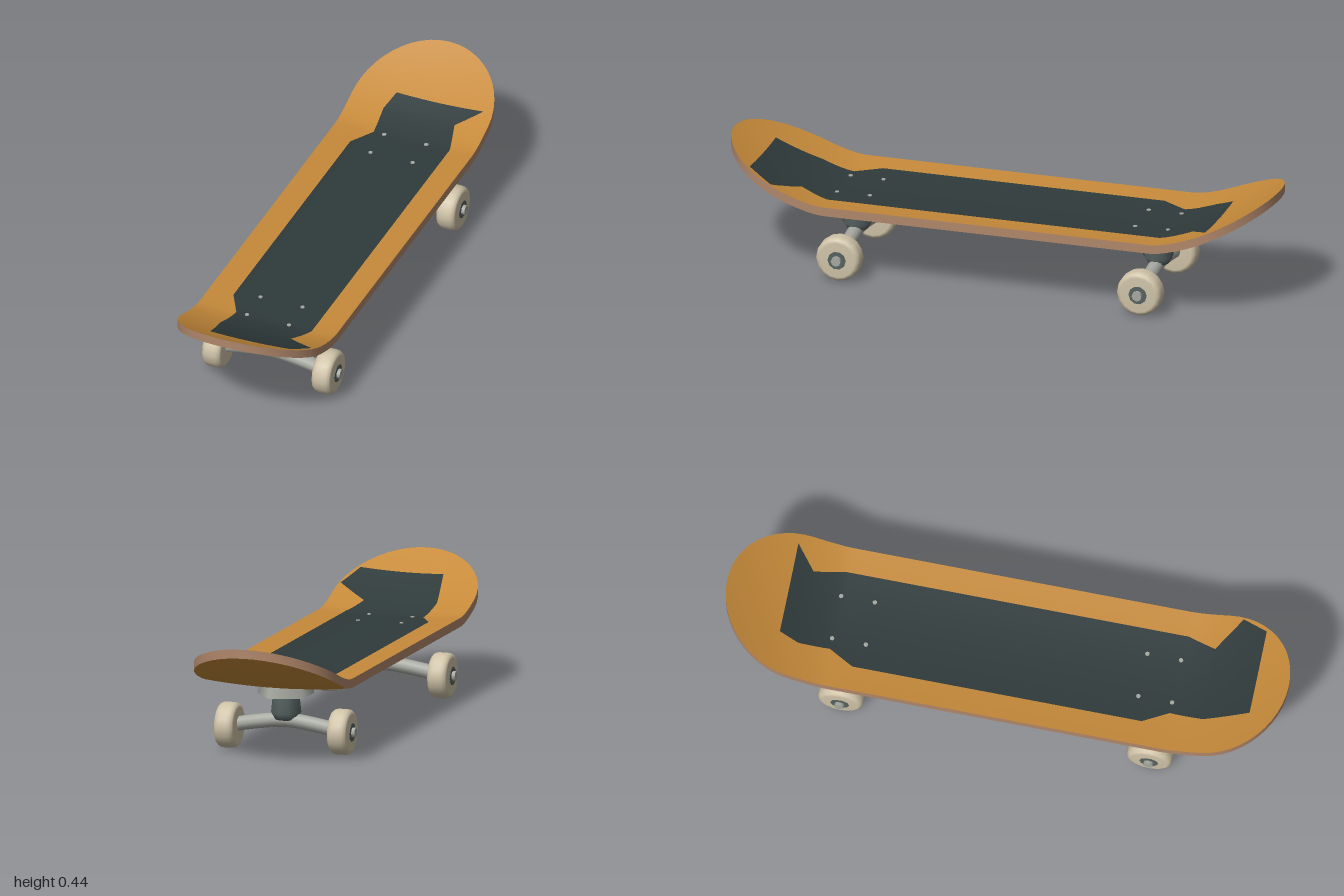
import * as THREE from 'three';

const material = (name, color) => Object.assign(new THREE.MeshStandardMaterial({ color }), { name });
const mats = {
  deck: material('orange deck', 0xc68a3a),
  edge: material('brown wood edge', 0xb0866a),
  grip: material('charcoal grip', 0x2f3a3a),
  metal: material('light grey metal', 0xa6a8a1),
  pivot: material('dark grey metal', 0x566260),
  wheel: material('cream wheel', 0xcfc3a8),
};

const HALF_W = 0.26, THICK = 0.032, BEND = 0.6, TRUCK_Z = 0.55, AXLE_Y = 0.082;

// Height of the deck top: slight concave across, upswept nose and tail.
function topY(x, z) {
  const t = Math.max(0, (Math.abs(z) - BEND) / (1 - BEND));
  return 0.267 + 0.015 * (x / HALF_W) ** 2 + 0.175 * t ** 1.5;
}

// Half width of the deck: straight sides with round ends.
function halfWidth(z) {
  const d = Math.max(0, Math.abs(z) - (1 - HALF_W));
  return Math.sqrt(Math.max(0, HALF_W ** 2 - d ** 2));
}

// Grid surface from a point function; flip turns it over.
function surface(rows, cols, point, flip = false) {
  const pos = [], index = [];
  for (let r = 0; r < rows; r++) for (let c = 0; c < cols; c++) pos.push(...point(r, c));
  for (let r = 0; r < rows - 1; r++) {
    for (let c = 0; c < cols - 1; c++) {
      const a = r * cols + c, b = a + cols;
      if (flip) index.push(a, a + 1, b, b, a + 1, b + 1);
      else index.push(a, b, a + 1, b, b + 1, a + 1);
    }
  }
  const g = new THREE.BufferGeometry();
  g.setAttribute('position', new THREE.Float32BufferAttribute(pos, 3));
  g.setIndex(index);
  g.computeVertexNormals();
  return g;
}

function add(parent, name, geometry, mat, x = 0, y = 0, z = 0) {
  const mesh = new THREE.Mesh(geometry, mat);
  mesh.name = name;
  mesh.position.set(x, y, z);
  parent.add(mesh);
  return mesh;
}

// Row positions along the deck, denser at the ends.
function deckRows() {
  const half = [0, 0.2, 0.4, 0.55, 0.6, 0.63, 0.66, 0.7];
  for (let a = 90; a >= 0; a -= 7.5) half.push(1 - HALF_W + HALF_W * Math.cos(a * Math.PI / 180));
  return [...half.slice(1).reverse().map((z) => -z), ...half];
}

// Linear interpolation through [z, x] points.
function boundary(points, z) {
  for (let i = 1; i < points.length; i++) {
    const [z0, x0] = points[i - 1], [z1, x1] = points[i];
    if (z <= z1) return x0 + (x1 - x0) * (z - z0) / (z1 - z0);
  }
  return points[points.length - 1][1];
}

function buildDeck() {
  const deck = new THREE.Group();
  deck.name = 'deck';
  const zs = deckRows(), cols = 13;
  const sheet = (drop) => (r, c) => {
    const z = zs[r], x = halfWidth(z) * (c / (cols - 1) * 2 - 1);
    return [x, topY(x, z) - drop, z];
  };
  add(deck, 'deckTop', surface(zs.length, cols, sheet(0)), mats.deck);
  add(deck, 'deckBottom', surface(zs.length, cols, sheet(THICK), true), mats.deck);

  // wooden rim around the outline
  const rim = [
    ...zs.map((z) => [halfWidth(z), z]),
    ...zs.slice(0, -1).reverse().map((z) => [-halfWidth(z), z]),
  ];
  add(deck, 'deckEdge', surface(rim.length, 2, (r, c) => {
    const [x, z] = rim[r];
    return [x, topY(x, z) - c * THICK, z];
  }), mats.edge);

  // grip sheet with notched ends
  const left = [[-0.79, 0.22], [-0.72, 0.14], [-0.61, 0.17], [0.61, 0.17], [0.71, 0.135], [0.79, 0.248], [0.88, 0.205]];
  const right = [[-0.79, -0.11], [-0.72, -0.13], [-0.61, -0.12], [-0.52, -0.17],
    [0.51, -0.17], [0.6, -0.12], [0.72, -0.13], [0.88, -0.1]];
  const rows = [...new Set([...zs.filter((z) => z > -0.79 && z < 0.88), ...left.map((p) => p[0]), ...right.map((p) => p[0])])]
    .sort((a, b) => a - b);
  add(deck, 'gripSheet', surface(rows.length, 11, (r, c) => {
    const z = rows[r], a = boundary(right, z), b = boundary(left, z);
    const x = a + (b - a) * c / 10;
    return [x, topY(x, z) + 0.003, z];
  }), mats.grip);

  // mounting bolts
  const bolt = new THREE.CylinderGeometry(0.008, 0.008, 0.006, 8);
  for (const x of [-0.08, 0.08]) {
    for (const z of [-0.61, -0.49, 0.48, 0.6]) add(deck, 'bolt', bolt, mats.metal, x, topY(x, z) + 0.003, z);
  }
  return deck;
}

function buildTruck(z) {
  const truck = new THREE.Group();
  truck.name = z > 0 ? 'frontTruck' : 'backTruck';
  truck.position.z = z;

  // five-sided base plate
  add(truck, 'basePlate', new THREE.CylinderGeometry(0.097, 0.105, 0.036, 5, 1, false, Math.PI / 2), mats.metal, 0, 0.22, 0);

  // pivot block
  const pivot = [[0, 0.115], [0.038, 0.115], [0.054, 0.14], [0.047, 0.21]].map((p) => new THREE.Vector2(...p));
  add(truck, 'pivot', new THREE.LatheGeometry(pivot, 9, Math.PI / 2), mats.pivot);

  // arched hanger
  const arch = [[-0.2, 0.084], [-0.1, 0.102], [0, 0.113], [0.1, 0.102], [0.2, 0.084]].map(([x, y]) => new THREE.Vector3(x, y, 0));
  add(truck, 'hanger', new THREE.TubeGeometry(new THREE.CatmullRomCurve3(arch), 12, 0.026, 10), mats.metal);

  // wheels with hub ring and axle end
  const tread = [[0, -0.036], [0.064, -0.036], [0.074, -0.032], [0.08, -0.022], [0.0815, -0.01],
    [0.0815, 0.01], [0.08, 0.022], [0.074, 0.032], [0.064, 0.036], [0, 0.036]].map((p) => new THREE.Vector2(...p));
  const wheel = new THREE.LatheGeometry(tread, 16).rotateZ(-Math.PI / 2);
  const hub = new THREE.CylinderGeometry(0.033, 0.033, 0.006, 10).rotateZ(-Math.PI / 2);
  const axle = new THREE.CylinderGeometry(0.018, 0.018, 0.02, 8).rotateZ(-Math.PI / 2);
  for (const s of [-1, 1]) {
    const side = s > 0 ? 'left' : 'right';
    add(truck, side + 'Wheel', wheel, mats.wheel, s * 0.208, AXLE_Y, 0);
    add(truck, side + 'Hub', hub, mats.pivot, s * 0.243, AXLE_Y, 0);
    add(truck, side + 'AxleEnd', axle, mats.metal, s * 0.248, AXLE_Y, 0);
  }
  return truck;
}

export function createModel() {
  const model = new THREE.Group();
  model.name = 'skateboard';
  model.add(buildDeck(), buildTruck(TRUCK_Z), buildTruck(-TRUCK_Z));
  return model;
}
